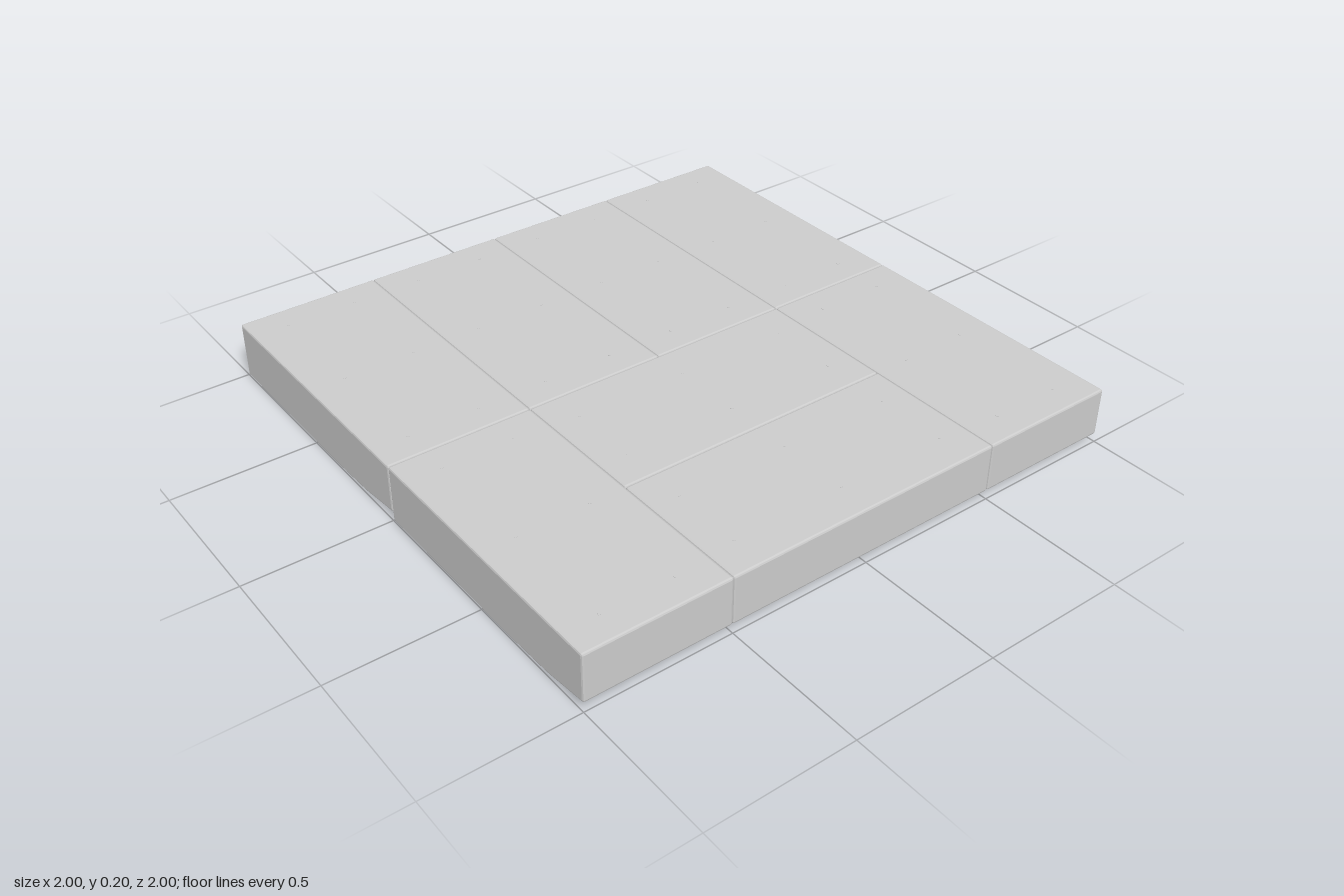
import * as THREE from 'three';

const H = 0.2, BEVEL = 0.007;
const mat = new THREE.MeshStandardMaterial({ color: 0xcccccc, flatShading: true });

// Worn underside: each wear rule lifts the bottom by a plane; u, v are distances from panel edges
const frontWear = (p) => Math.max(0.03 - 0.133 * p.front, 0.014 - 0.04 * p.front);
const backCorner = (p) => 0.06 * (1 - p.left / 0.18 - p.back / 0.26);
const frontCorner = (p) => 0.03 * (1 - p.left / 0.18 - p.front / 0.26);
const sideWear = (p) => 0.025 * (1 - p.left / 0.24);

// Index-based spacing: a narrow bevel ring at both ends, even cells between
function spread(t, n, size) {
  const i = Math.round((t + 0.5) * n), h = size / 2;
  if (i === 0) return -h;
  if (i === n) return h;
  return -h + BEVEL + ((size - 2 * BEVEL) * (i - 1)) / (n - 2);
}

function slabGeometry(w, d, lift) {
  const nx = Math.round(w * 40) + 2, nz = Math.round(d * 40) + 2, ny = 3;
  const geo = new THREE.BoxGeometry(1, 1, 1, nx, ny, nz);
  const pos = geo.attributes.position;
  const v = new THREE.Vector3(), inner = new THREE.Vector3();
  const max = new THREE.Vector3(w / 2 - BEVEL, H / 2 - BEVEL, d / 2 - BEVEL);
  const min = max.clone().negate();
  for (let i = 0; i < pos.count; i++) {
    v.set(spread(pos.getX(i), nx, w), spread(pos.getY(i), ny, H), spread(pos.getZ(i), nz, d));
    inner.copy(v).clamp(min, max);
    const out = v.clone().sub(inner);
    if (out.length() > BEVEL) out.setLength(BEVEL);
    v.copy(inner).add(out);
    v.y += H / 2;
    if (v.y < H / 2) v.y += lift(v.x, v.z);
    pos.setXYZ(i, v.x, v.y, v.z);
  }
  geo.computeVertexNormals();
  return geo;
}

const pinGeo = new THREE.CylinderGeometry(0.005, 0.005, 0.004, 8);
const UP = new THREE.Vector3(0, 1, 0);

function addPin(group, x, y, z, nx, ny, nz) {
  const pin = new THREE.Mesh(pinGeo, mat);
  pin.name = 'pin';
  pin.position.set(x, y, z);
  pin.quaternion.setFromUnitVectors(UP, new THREE.Vector3(nx, ny, nz));
  group.add(pin);
}

function makePanel(name, x, z, w, d, wear) {
  const group = new THREE.Group();
  group.name = name;
  group.position.set(x, 0, z);
  const lift = (px, pz) => {
    const p = { left: w / 2 - px, front: d / 2 - pz, back: d / 2 + pz };
    return Math.max(0, ...wear.map((rule) => rule(p)));
  };
  const slab = new THREE.Mesh(slabGeometry(w, d, lift), mat);
  slab.name = 'slab';
  group.add(slab);

  // Pins: three along the long side, two along the short side
  const row = (size) => (size > 0.6 ? [-0.4, 0, 0.4] : [-0.125, 0.125]);
  for (const px of row(w)) {
    for (const pz of row(d)) {
      addPin(group, px, H - 0.001, pz, 0, 1, 0);
      addPin(group, px, lift(px, pz) + 0.001, pz, 0, -1, 0);
    }
    for (const s of [-1, 1]) addPin(group, px, H / 2, s * (d / 2 - 0.002), 0, 0, s);
  }
  for (const pz of row(d)) {
    for (const s of [-1, 1]) addPin(group, s * (w / 2 - 0.002), H / 2, pz, s, 0, 0);
  }
  return group;
}

export function createModel() {
  const model = new THREE.Group();
  model.name = 'slabFloor';
  const panels = [
    // back row
    ['backRightPanel', -0.75, -0.5, 0.5, 1, [frontWear, sideWear]],
    ['backMiddleRightPanel', -0.25, -0.5, 0.5, 1, [frontCorner]],
    ['backMiddleLeftPanel', 0.25, -0.5, 0.5, 1, []],
    ['backLeftPanel', 0.75, -0.5, 0.5, 1, [frontWear, backCorner]],
    // front row
    ['frontRightPanel', -0.75, 0.5, 0.5, 1, [frontWear, sideWear]],
    ['innerCrossPanel', 0, 0.25, 1, 0.5, [frontCorner]],
    ['frontCrossPanel', 0, 0.75, 1, 0.5, [frontWear]],
    ['frontLeftPanel', 0.75, 0.5, 0.5, 1, [frontWear, backCorner]],
  ];
  for (const p of panels) model.add(makePanel(...p));
  return model;
}
